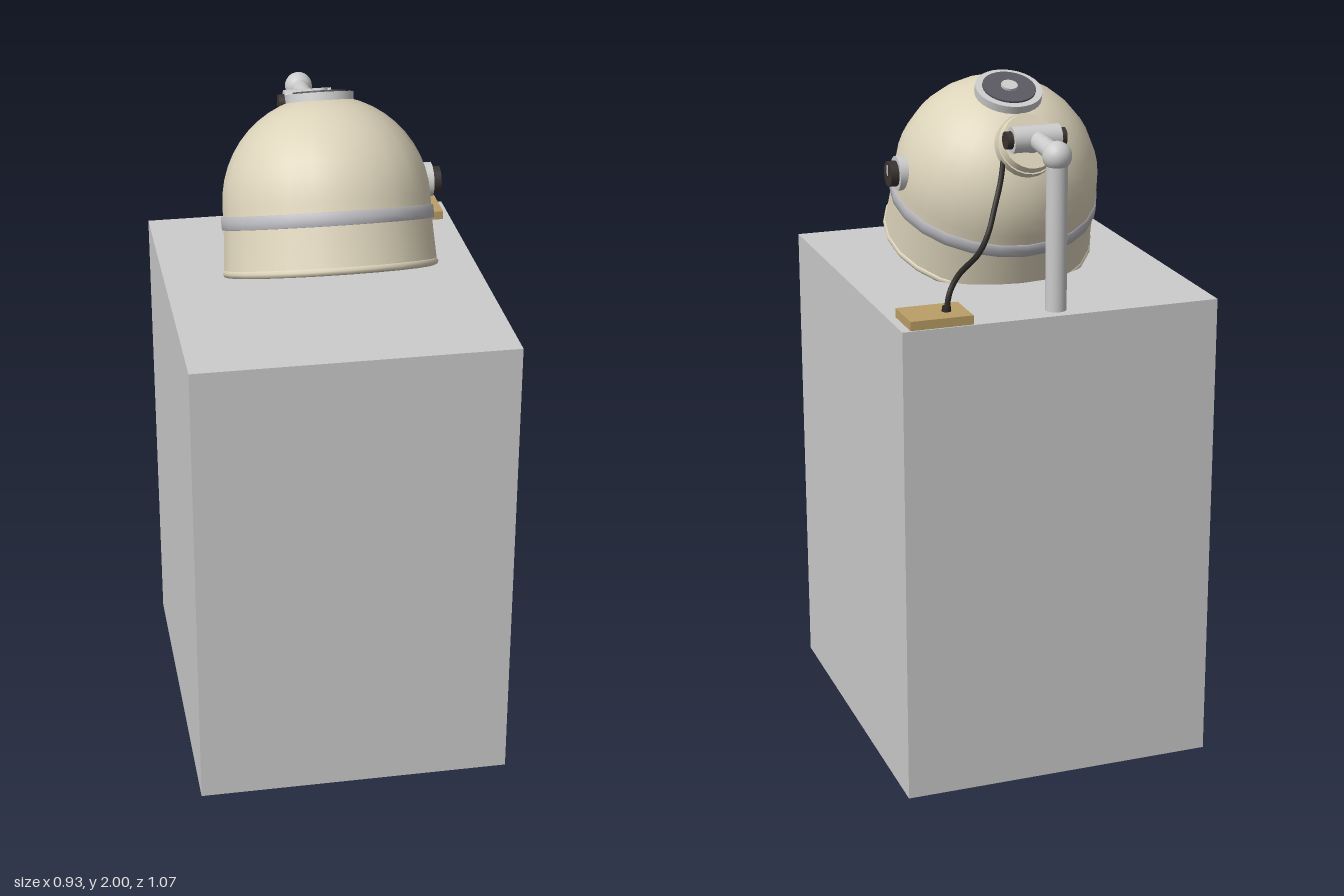
import * as THREE from 'three';

const mat = (color, side = THREE.FrontSide) => new THREE.MeshStandardMaterial({ color, side });
const grey = mat(0xcccccc);
const cream = mat(0xdcd3ba, THREE.DoubleSide);
const bandGrey = mat(0xb8b8be);
const lining = mat(0xb8b6b2, THREE.DoubleSide);
const charcoal = mat(0x5a5860);
const dark = mat(0x3a3330);
const black = mat(0x2a2724);
const tan = mat(0xbb9f66);

const UP = new THREE.Vector3(0, 1, 0);
const v = (x, y, z) => new THREE.Vector3(x, y, z);

function add(parent, name, geometry, material, x = 0, y = 0, z = 0) {
  const mesh = new THREE.Mesh(geometry, material);
  mesh.name = name;
  mesh.position.set(x, y, z);
  parent.add(mesh);
  return mesh;
}

// Cylinder running from point a to point b
function rod(parent, name, a, b, radius, material, endRadius = radius, sides = 24) {
  const dir = b.clone().sub(a);
  const mesh = add(parent, name, new THREE.CylinderGeometry(endRadius, radius, dir.length(), sides), material);
  mesh.position.copy(a).addScaledVector(dir, 0.5);
  mesh.quaternion.setFromUnitVectors(UP, dir.normalize());
  return mesh;
}

function lathe(parent, name, points, material, sides = 24) {
  return add(parent, name, new THREE.LatheGeometry(points.map(p => new THREE.Vector2(...p)), sides), material);
}

// Profile: straight skirt, then a dome of given radius about height cy
function domeProfile(skirt, radius, cy) {
  const pts = [...skirt];
  for (let i = 0; i <= 12; i++) {
    const a = (i / 12) * Math.PI / 2;
    pts.push([Math.max(radius * Math.cos(a), 0.0001), cy + radius * Math.sin(a)]);
  }
  return pts;
}

function buildHood() {
  const hood = new THREE.Group();
  hood.name = 'hood';
  hood.position.set(0, 1.502, 0.093);
  hood.rotation.x = -22 * Math.PI / 180;

  lathe(hood, 'outerShell', domeProfile([[0.308, 0], [0.302, 0.1]], 0.3, 0.19), cream);
  lathe(hood, 'innerShell', domeProfile([[0.29, 0], [0.287, 0.1]], 0.285, 0.19), lining);
  add(hood, 'rim', new THREE.TorusGeometry(0.3, 0.012, 8, 24).rotateX(Math.PI / 2), cream);
  lathe(hood, 'band', [[0.298, 0.123], [0.306, 0.125], [0.307, 0.143], [0.306, 0.161], [0.298, 0.163]], bandGrey);

  // Vent on the crown
  add(hood, 'ventRing', new THREE.CylinderGeometry(0.097, 0.097, 0.045, 32), grey, 0, 0.474, 0);
  add(hood, 'ventDisc', new THREE.CylinderGeometry(0.077, 0.077, 0.01, 32), charcoal, 0, 0.497, 0);
  add(hood, 'ventButton', new THREE.CylinderGeometry(0.024, 0.024, 0.012, 20), grey, 0, 0.503, 0);
  return hood;
}

function buildKnob() {
  const knob = new THREE.Group();
  knob.name = 'controlKnob';
  knob.position.set(0, 1.717, 0.005);
  rod(knob, 'knobCollar', v(0.27, 0, 0), v(0.31, 0, 0), 0.05, grey);
  rod(knob, 'knobDial', v(0.3, 0, 0), v(0.334, 0, 0), 0.037, dark);
  add(knob, 'knobPointer', new THREE.BoxGeometry(0.004, 0.03, 0.007), grey, 0.334, 0.01, 0);
  return knob;
}

function buildArm() {
  const arm = new THREE.Group();
  arm.name = 'supportArm';
  const hinge = v(0, 1.862, -0.304);
  const elbow = v(0, 1.85, -0.475);

  // Stepped flange on the back of the dome, pointing away from its centre
  const centre = v(0, 1.678, 0.022);
  const out = v(0, 0.5, -0.866);
  const along = d => centre.clone().addScaledVector(out, d);
  rod(arm, 'flangeBase', along(0.27), along(0.315), 0.09, cream);
  rod(arm, 'flangePlate', along(0.315), along(0.337), 0.086, cream, 0.08);
  rod(arm, 'flangeNeck', along(0.33), along(0.372), 0.035, grey);

  // Hinge barrel with dark end bolts
  rod(arm, 'hingeBarrel', hinge.clone().setX(-0.07), hinge.clone().setX(0.07), 0.037, grey);
  for (const s of [-1, 1])
    rod(arm, 'hingeBolt', hinge.clone().setX(s * 0.065), hinge.clone().setX(s * 0.088), 0.025, dark);

  rod(arm, 'crossArm', hinge, elbow, 0.026, grey);
  add(arm, 'elbowBall', new THREE.SphereGeometry(0.041, 24, 16), grey, elbow.x, elbow.y, elbow.z);
  rod(arm, 'post', v(0, 1.41, -0.475), elbow, 0.03, grey);
  return arm;
}

function buildCable() {
  const cable = new THREE.Group();
  cable.name = 'powerCable';
  const path = new THREE.CatmullRomCurve3([
    v(0.07, 1.81, -0.245), v(0.088, 1.74, -0.268), v(0.115, 1.676, -0.296), v(0.147, 1.607, -0.328),
    v(0.19, 1.565, -0.37), v(0.27, 1.528, -0.432), v(0.305, 1.49, -0.46), v(0.317, 1.44, -0.467),
  ]);
  add(cable, 'cord', new THREE.TubeGeometry(path, 48, 0.008, 8), black);
  rod(cable, 'cordGrommet', v(0.317, 1.435, -0.467), v(0.317, 1.455, -0.467), 0.014, black, 0.012, 16);
  add(cable, 'wallPlate', new THREE.BoxGeometry(0.18, 0.026, 0.136), tan, 0.35, 1.428, -0.462);
  return cable;
}

export function createModel() {
  const model = new THREE.Group();
  model.name = 'hoodOnPlinth';

  add(model, 'plinth', new THREE.BoxGeometry(0.93, 1.412, 1.07), grey, 0, 0.709, 0);
  for (const x of [-0.35, 0.35])
    for (const z of [-0.41, 0.41])
      add(model, 'foot', new THREE.CylinderGeometry(0.022, 0.022, 0.02, 16), dark, x, 0.01, z);

  model.add(buildHood(), buildKnob(), buildArm(), buildCable());
  return model;
}
